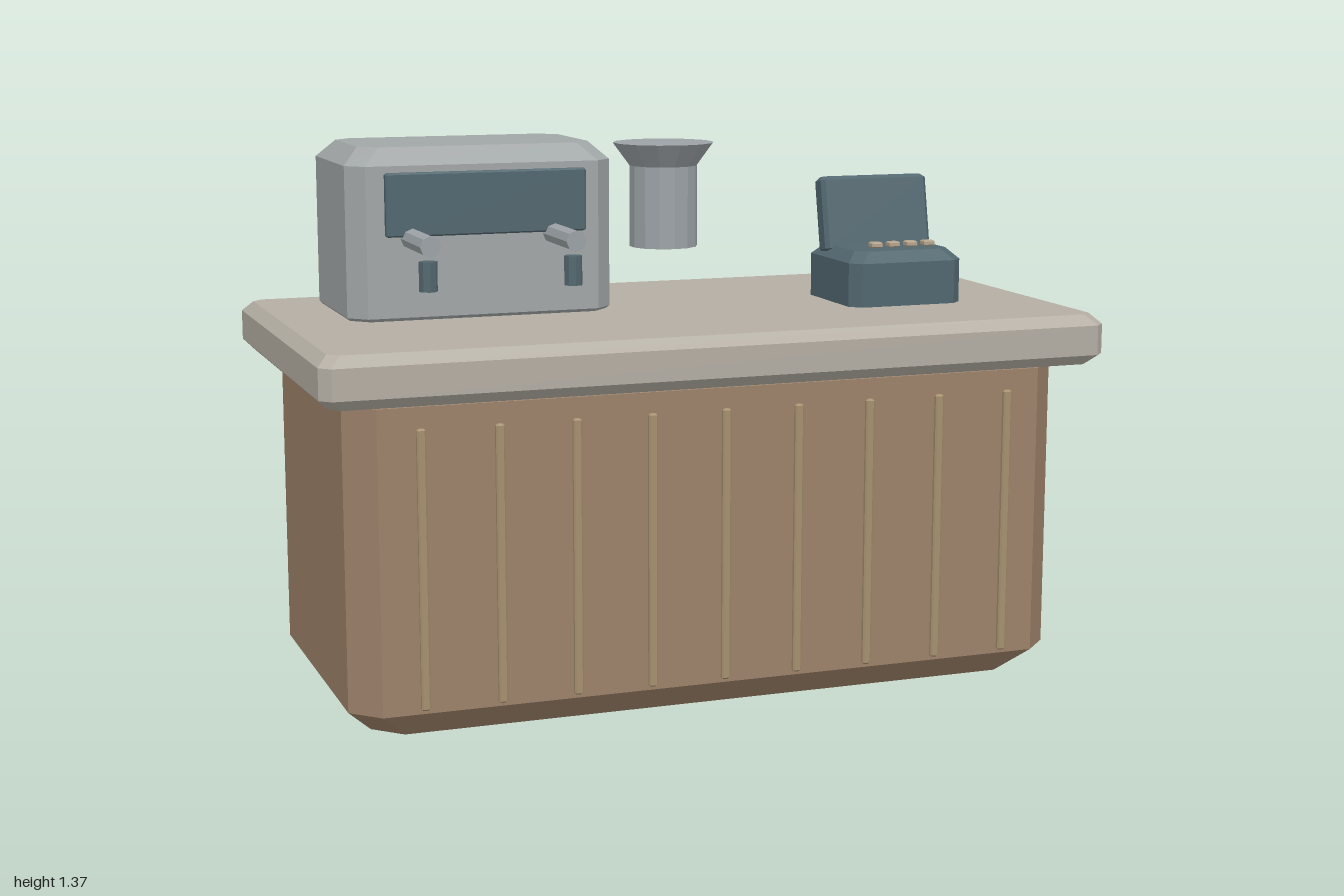
import * as THREE from 'three';

const mat = (color) => new THREE.MeshStandardMaterial({ color, flatShading: true });

const COLORS = {
  wood: 0x9c8169, slat: 0xa6906f, stone: 0xb4aea3, steel: 0xa1a6a6,
  metal: 0x9ba2a6, dark: 0x52676f, green: 0x5f7a68, key: 0xb5a48c,
};

// Box centred on the origin with every edge and corner cut by c
function chamferBox(w, h, d, c) {
  const ring = (y, inset) => {
    const x = w / 2 - inset, z = d / 2 - inset;
    return [
      [x, z - c], [x, c - z], [x - c, -z], [c - x, -z],
      [-x, c - z], [-x, z - c], [c - x, z], [x - c, z],
    ].map(([px, pz]) => [px, y, pz]);
  };
  const rings = [ring(-h / 2, c), ring(c - h / 2, 0), ring(h / 2 - c, 0), ring(h / 2, c)];
  const pos = [];
  const tri = (a, b, e) => pos.push(...a, ...b, ...e);
  for (let r = 0; r < 3; r++) {
    for (let i = 0; i < 8; i++) {
      const j = (i + 1) % 8, lo = rings[r], hi = rings[r + 1];
      tri(lo[i], lo[j], hi[j]);
      tri(lo[i], hi[j], hi[i]);
    }
  }
  for (let i = 1; i < 7; i++) {
    tri(rings[3][0], rings[3][i], rings[3][i + 1]);
    tri(rings[0][0], rings[0][i + 1], rings[0][i]);
  }
  const g = new THREE.BufferGeometry();
  g.setAttribute('position', new THREE.Float32BufferAttribute(pos, 3));
  g.computeVertexNormals();
  return g;
}

function add(parent, name, geometry, color, x, y, z) {
  const mesh = new THREE.Mesh(geometry, mat(color));
  mesh.name = name;
  mesh.position.set(x, y, z);
  parent.add(mesh);
  return mesh;
}

function group(parent, name) {
  const g = new THREE.Group();
  g.name = name;
  parent.add(g);
  return g;
}

export function createModel() {
  const model = new THREE.Group();
  model.name = 'coffeeCounter';

  // Counter: body, worktop and front slats
  const counter = group(model, 'counter');
  add(counter, 'counterBody', chamferBox(1.845, 0.875, 0.85, 0.068), COLORS.wood, 0, 0.4375, 0);
  add(counter, 'worktop', chamferBox(2, 0.127, 1.022, 0.026), COLORS.stone, 0, 0.8835, 0);
  for (let i = 0; i < 9; i++) {
    add(counter, 'frontSlat', chamferBox(0.022, 0.676, 0.016, 0.004), COLORS.slat,
      (i - 4) * 0.189, 0.422, 0.448);
  }

  // Espresso machine: housing, front panel, two brew handles with spouts
  const machine = group(model, 'espressoMachine');
  add(machine, 'machineHousing', chamferBox(0.68, 0.46, 0.422, 0.043), COLORS.steel, -0.48, 1.142, -0.19);
  add(machine, 'frontPanel', chamferBox(0.51, 0.156, 0.022, 0.004), COLORS.dark, -0.48, 1.236, 0.044);
  for (const x of [-0.67, -0.307]) {
    const handle = add(machine, 'brewHandle', new THREE.CylinderGeometry(0.026, 0.026, 0.196, 8),
      COLORS.metal, x, 1.153, 0.132);
    handle.rotation.x = Math.PI / 2;
    add(machine, 'spout', new THREE.CylinderGeometry(0.023, 0.023, 0.072, 8), COLORS.dark, x, 1.079, 0.201);
  }

  // Grinder: round body with a flared hopper
  const grinder = group(model, 'grinder');
  add(grinder, 'grinderBody', new THREE.CylinderGeometry(0.09, 0.09, 0.214, 14), COLORS.metal, 0.08, 1.184, -0.227);
  add(grinder, 'hopper', new THREE.CylinderGeometry(0.134, 0.09, 0.06, 14), COLORS.metal, 0.08, 1.321, -0.227);

  // Cash register: base, keys and a tilted screen
  const register = group(model, 'cashRegister');
  add(register, 'registerBase', chamferBox(0.314, 0.18, 0.3, 0.028), COLORS.dark, 0.602, 0.997, 0.04);
  for (let i = 0; i < 4; i++) {
    add(register, 'key', chamferBox(0.03, 0.014, 0.03, 0.003), COLORS.key, 0.527 + i * 0.049, 1.102, 0.145);
  }
  const screen = group(register, 'screen');
  screen.position.set(0.602, 1.163, -0.039);
  screen.rotation.x = -0.2;
  add(screen, 'screenCase', chamferBox(0.302, 0.2, 0.056, 0.01), COLORS.dark, 0, 0, 0);
  add(screen, 'display', new THREE.BoxGeometry(0.245, 0.128, 0.007), COLORS.green, 0, 0.006, -0.034);

  return model;
}
